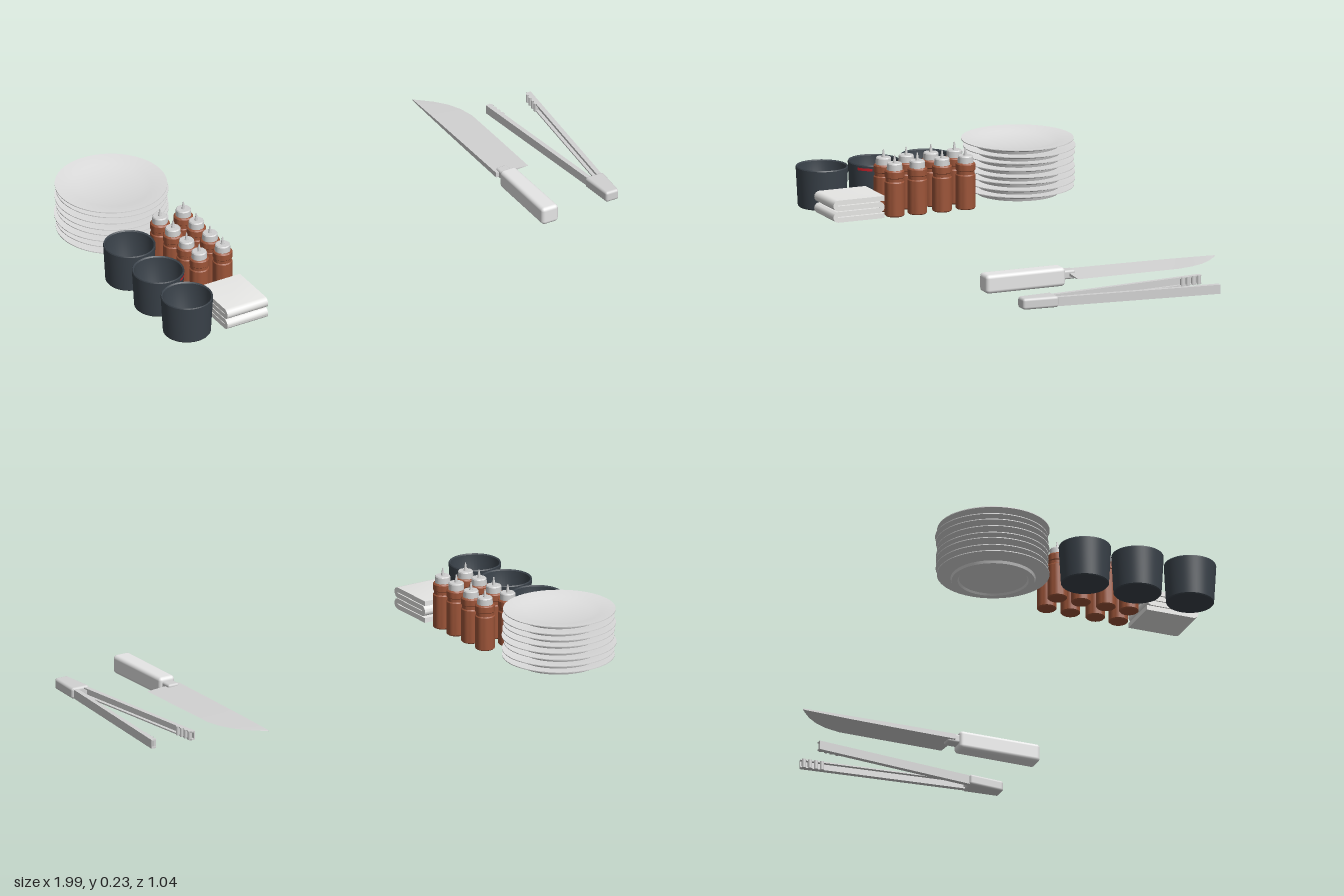
import * as THREE from 'three';
import { toCreasedNormals } from 'three/addons/utils/BufferGeometryUtils.js';
import { RoundedBoxGeometry } from 'three/addons/geometries/RoundedBoxGeometry.js';

const material = (name, color, extra = {}) => {
  const m = new THREE.MeshStandardMaterial({ color, ...extra });
  m.name = name;
  return m;
};

function part(parent, name, geometry, mat, x = 0, y = 0, z = 0) {
  const mesh = new THREE.Mesh(geometry, mat);
  mesh.name = name;
  mesh.position.set(x, y, z);
  parent.add(mesh);
  return mesh;
}

function group(parent, name, x = 0, y = 0, z = 0) {
  const g = new THREE.Group();
  g.name = name;
  g.position.set(x, y, z);
  parent.add(g);
  return g;
}

// Turned profile, listed from the bottom axis outwards, up and back in
const lathe = (points, segments = 40) =>
  toCreasedNormals(new THREE.LatheGeometry(points.map(([r, y]) => new THREE.Vector2(r, y)), segments), 0.5);

// Rounded box whose width scales from the back (-z) to the front (+z)
function taperedBox(w, h, d, radius, back, front) {
  const g = new RoundedBoxGeometry(w, h, d, 3, radius);
  const p = g.attributes.position;
  for (let i = 0; i < p.count; i++) {
    p.setX(i, p.getX(i) * THREE.MathUtils.lerp(back, front, p.getZ(i) / d + 0.5));
  }
  return g;
}

// Horizontal blade lofted from wedge sections: straight spine, curved edge
function bladeGeometry(spineX, stations) {
  const rings = stations.map(([z, edgeX, t]) => [
    [spineX, -t / 2, z], [edgeX, 0, z], [spineX, t / 2, z],
  ]);
  const v = [];
  for (let i = 0; i < rings.length - 1; i++) {
    for (let j = 0; j < 3; j++) {
      const k = (j + 1) % 3;
      const a = rings[i][j], b = rings[i][k], c = rings[i + 1][k], d = rings[i + 1][j];
      v.push(...a, ...c, ...b, ...a, ...d, ...c);
    }
  }
  const tip = rings[rings.length - 1];
  v.push(...rings[0].flat(), ...tip[0], ...tip[2], ...tip[1]);
  const g = new THREE.BufferGeometry();
  g.setAttribute('position', new THREE.Float32BufferAttribute(v, 3));
  g.computeVertexNormals();
  return toCreasedNormals(g, 0.4);
}

// Cloth folded back and forth: a thick serpentine line extruded sideways
function foldedCloth(width, depth, layers, pitch, thickness) {
  const line = [];
  const r = pitch / 2;
  const end = depth / 2 - r - thickness / 2;
  for (let i = 0; i < layers; i++) {
    const s = i % 2 ? -1 : 1;
    const y = thickness / 2 + i * pitch;
    if (i === 0) line.push(new THREE.Vector2(-depth / 2, y));
    if (i === layers - 1) { line.push(new THREE.Vector2(s * depth / 2, y)); break; }
    for (let k = 0; k <= 8; k++) {
      const a = -Math.PI / 2 + (Math.PI * k) / 8;
      line.push(new THREE.Vector2(s * (end + r * Math.cos(a)), y + r + r * Math.sin(a)));
    }
  }
  const side = (sign) => line.map((p, i) => {
    const t = line[Math.min(i + 1, line.length - 1)].clone().sub(line[Math.max(i - 1, 0)]).normalize();
    return new THREE.Vector2(p.x - t.y * sign * thickness / 2, p.y + t.x * sign * thickness / 2);
  });
  const shape = new THREE.Shape([...side(1), ...side(-1).reverse()]);
  const g = new THREE.ExtrudeGeometry(shape, { depth: width, bevelEnabled: false });
  g.translate(0, 0, -width / 2);
  g.rotateY(-Math.PI / 2);
  return toCreasedNormals(g, 0.6);
}

export function createModel() {
  const china = material('white china', 0xdedede);
  const linen = material('white linen', 0xececea);
  const steel = material('steel', 0xd2d2d2);
  const handleWhite = material('pale handle', 0xe6e6e6);
  const dark = material('dark slate', 0x3a424a);
  const brown = material('brown sauce', 0x9c5438);
  const capGrey = material('bottle cap grey', 0xd0d0d0);
  const red = material('red', 0xc8202a, { side: THREE.DoubleSide });

  const model = new THREE.Group();
  model.name = 'kitchenSet';

  // Stack of eight plates with foot rings, slightly out of line
  const plates = group(model, 'plateStack', -0.785, 0.004, -0.312);
  const plateGeo = lathe([
    [0, 0.007], [0.125, 0.007], [0.13, 0], [0.152, 0], [0.156, 0.01],
    [0.206, 0.025], [0.206, 0.028], [0.15, 0.021], [0.12, 0.014], [0, 0.013],
  ], 56);
  for (let i = 0; i < 8; i++) {
    part(plates, 'plate', plateGeo, china, 0.004 * Math.sin(i * 2.4), i * 0.025, 0.003 * Math.cos(i * 1.7));
  }

  // Three open containers
  const cupGeo = lathe([
    [0, 0], [0.085, 0], [0.088, 0.004], [0.096, 0.147], [0.094, 0.151],
    [0.089, 0.147], [0.08, 0.03], [0.074, 0.02], [0, 0.02],
  ], 48);
  for (let i = 0; i < 3; i++) {
    const cup = group(model, 'container', -0.896, 0, 0.008 + i * 0.2085);
    part(cup, 'containerBody', cupGeo, dark);
    if (i === 1) {
      const mark = new THREE.CylinderGeometry(0.0965, 0.096, 0.01, 10, 1, true, Math.PI / 4 - 0.3, 0.6);
      part(cup, 'redMark', mark, red, 0, 0.135, 0);
    }
  }

  // Squeeze bottles in two columns of four
  const bottleGeo = lathe([
    [0, 0], [0.032, 0], [0.036, 0.004], [0.036, 0.127], [0.033, 0.131], [0.033, 0.143],
    [0.036, 0.146], [0.036, 0.168], [0.032, 0.173], [0, 0.173],
  ], 28);
  const capGeo = lathe([[0, 0.17], [0.029, 0.17], [0.028, 0.195], [0.025, 0.199], [0, 0.199]], 24);
  const nozzleGeo = lathe([[0, 0.198], [0.007, 0.198], [0.005, 0.21], [0.002, 0.228], [0, 0.228]], 12);
  for (const x of [-0.741, -0.642]) {
    for (const z of [0.248, 0.157, 0.058, -0.036]) {
      const bottle = group(model, 'bottle', x, 0, z);
      part(bottle, 'bottleBody', bottleGeo, brown);
      part(bottle, 'bottleCap', capGeo, capGrey);
      part(bottle, 'bottleNozzle', nozzleGeo, capGrey);
    }
  }

  // Folded towel
  part(model, 'towel', foldedCloth(0.172, 0.205, 4, 0.0215, 0.0185), linen, -0.688, 0.005, 0.408);

  // Chef's knife lying flat
  const knife = group(model, 'knife', 0, 0.045, 0);
  part(knife, 'blade', bladeGeometry(0.587, [
    [0.125, 0.722, 0.02], [-0.1, 0.722, 0.017], [-0.28, 0.721, 0.013], [-0.34, 0.707, 0.011],
    [-0.39, 0.682, 0.009], [-0.43, 0.65, 0.007], [-0.46, 0.617, 0.006], [-0.482, 0.589, 0.004],
  ]), steel);
  part(knife, 'bolster', new RoundedBoxGeometry(0.046, 0.034, 0.06, 2, 0.008), steel, 0.622, 0, 0.13);
  part(knife, 'knifeHandle', taperedBox(0.07, 0.07, 0.318, 0.014, 0.94, 1), handleWhite, 0.622, -0.004, 0.303);

  // Tongs: hinge cover and two channel arms with scalloped tips
  const tongs = group(model, 'tongs', 0.899, 0.023, 0);
  part(tongs, 'hingeCover', taperedBox(0.066, 0.042, 0.138, 0.01, 1.18, 0.8), steel, 0, 0.001, 0.367);
  const toothGeo = new THREE.CylinderGeometry(0.008, 0.008, 0.034, 12);
  for (const s of [-1, 1]) {
    const arm = group(tongs, s < 0 ? 'rightArm' : 'leftArm', s * 0.086, 0, -0.323);
    arm.rotation.y = Math.atan2(-s * 0.067, 0.65);
    const w = 0.009, h = 0.017, t = 0.005;
    const channel = new THREE.Shape([
      [w, -h], [w, h], [-w, h], [-w, h - t], [w - t, h - t], [w - t, t - h], [-w, t - h], [-w, -h],
    ].map(([x, y]) => new THREE.Vector2(s * x, y)));
    part(arm, 'armChannel', new THREE.ExtrudeGeometry(channel, { depth: 0.65, bevelEnabled: false }), steel);
    for (let i = 0; i < 4; i++) part(arm, 'gripTooth', toothGeo, steel, -s * 0.007, 0, 0.011 + i * 0.023);
  }

  return model;
}
